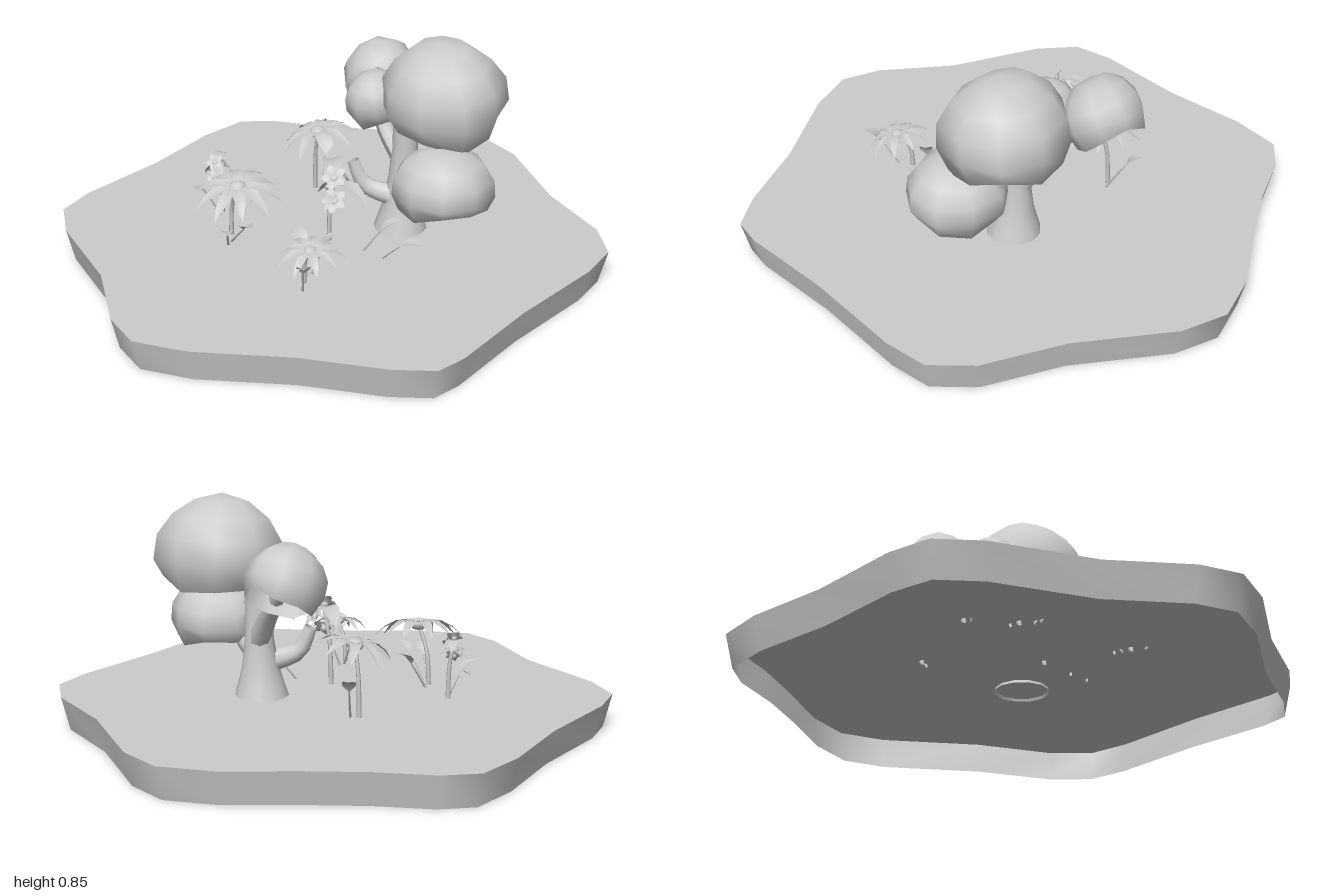
import * as THREE from 'three';

const material = new THREE.MeshStandardMaterial({ color: 0xcccccc, side: THREE.DoubleSide });
const V = (x, y, z) => new THREE.Vector3(x, y, z);
const GROUND = 0.12;

function add(parent, geometry, name) {
  const mesh = new THREE.Mesh(geometry, material);
  mesh.name = name;
  parent.add(mesh);
  return mesh;
}

// Island: flat top with a wavy six-sided outline and a tapering skirt, open below
function createIsland() {
  const outline = [
    [0, -1], [0.17, -0.95], [0.48, -0.735], [0.76, -0.61], [0.88, -0.49], [0.9, -0.33], [0.88, 0.05],
    [0.89, 0.4], [0.87, 0.51], [0.75, 0.6], [0.48, 0.735], [0.19, 0.93], [0.01, 1], [-0.14, 0.95],
    [-0.38, 0.77], [-0.72, 0.625], [-0.85, 0.52], [-0.88, 0.365], [-0.87, 0.015], [-0.9, -0.3],
    [-0.88, -0.49], [-0.78, -0.58], [-0.59, -0.67], [-0.41, -0.78], [-0.18, -0.935],
  ];
  const island = new THREE.Group();
  island.name = 'island';
  const shape = new THREE.Shape(outline.map(([x, z]) => new THREE.Vector2(x, -z)));
  add(island, new THREE.ShapeGeometry(shape).rotateX(-Math.PI / 2).translate(0, GROUND, 0), 'groundTop');
  const positions = [], index = [], n = outline.length;
  outline.forEach(([x, z], i) => {
    positions.push(x, GROUND, z, x * 0.97, 0, z * 0.97);
    const a = i * 2, b = ((i + 1) % n) * 2;
    index.push(a, b, a + 1, b, b + 1, a + 1);
  });
  const skirt = new THREE.BufferGeometry();
  skirt.setAttribute('position', new THREE.Float32BufferAttribute(positions, 3));
  skirt.setIndex(index);
  skirt.computeVertexNormals();
  add(island, skirt, 'groundEdge');
  return island;
}

// Tube that narrows from r0 to r1 along a curve
function taperedTube(points, r0, r1, segments = 6, sides = 8) {
  const curve = new THREE.CatmullRomCurve3(points);
  const geometry = new THREE.TubeGeometry(curve, segments, 1, sides);
  const p = geometry.attributes.position, v = V(0, 0, 0);
  for (let i = 0; i < p.count; i++) {
    const t = Math.floor(i / (sides + 1)) / segments;
    const c = curve.getPointAt(t);
    v.fromBufferAttribute(p, i).sub(c).multiplyScalar(r0 + (r1 - r0) * t).add(c);
    p.setXYZ(i, v.x, v.y, v.z);
  }
  geometry.computeVertexNormals();
  return geometry;
}

// Crown: faceted dome, open underneath, with a slightly uneven surface
function crownGeometry(seed) {
  const geometry = new THREE.SphereGeometry(1, 9, 5, seed, Math.PI * 2, 0, Math.PI * 0.68);
  const p = geometry.attributes.position;
  for (let i = 0; i < p.count; i++) {
    const x = p.getX(i), y = p.getY(i), z = p.getZ(i);
    const k = 1 + 0.05 * Math.sin(3 * x + seed * 5) * Math.cos(4 * z + seed);
    p.setXYZ(i, x * k, y * k + (y < -0.4 ? 0.12 * Math.sin(4 * x + 2 * z + seed) : 0), z * k);
  }
  return geometry;
}

function createTree() {
  const tree = new THREE.Group();
  tree.name = 'tree';
  const profile = [[0.1, 0.11], [0.085, 0.16], [0.068, 0.22], [0.053, 0.32], [0.046, 0.45], [0.05, 0.66]];
  const trunk = new THREE.LatheGeometry(profile.map(([r, y]) => new THREE.Vector2(r, y)), 12);
  const p = trunk.attributes.position;
  for (let i = 0; i < p.count; i++) p.setZ(i, p.getZ(i) - 0.06 * (p.getY(i) - GROUND));
  add(tree, trunk, 'trunk').position.set(0.19, 0, -0.18);

  const branches = [
    [V(0.19, 0.32, -0.2), V(0.11, 0.43, -0.25), V(0.03, 0.52, -0.3), V(-0.02, 0.6, -0.34)],
    [V(0.17, 0.4, -0.2), V(0.1, 0.48, -0.2), V(0.06, 0.58, -0.2)],
    [V(0.2, 0.26, -0.18), V(0.3, 0.32, -0.15), V(0.37, 0.4, -0.13)],
    [V(0.18, 0.24, -0.17), V(0.08, 0.28, -0.11), V(0.04, 0.37, -0.09)],
  ];
  branches.forEach((points) => add(tree, taperedTube(points, 0.042, 0.022), 'branch'));

  // centre, radii, backward tilt
  const crowns = [
    [[0.305, 0.635, -0.265], [0.23, 0.205, 0.22], 0.1],
    [[-0.05, 0.59, -0.37], [0.145, 0.135, 0.145], 0.55],
    [[0.05, 0.58, -0.2], [0.105, 0.11, 0.11], 0.3],
    [[0.41, 0.37, -0.13], [0.18, 0.145, 0.18], 0],
  ];
  crowns.forEach(([c, r, tilt], i) => {
    const crown = add(tree, crownGeometry(i * 1.3 + 0.4), 'crown');
    crown.position.set(...c);
    crown.scale.set(...r);
    crown.rotation.x = tilt;
  });
  return tree;
}

// Blade: thin pointed leaf or petal running along +z, with a crease and a droop
function bladeGeometry(length, width, droop) {
  const geometry = new THREE.PlaneGeometry(1, 1, 2, 4).rotateX(-Math.PI / 2);
  const p = geometry.attributes.position;
  for (let i = 0; i < p.count; i++) {
    const t = p.getZ(i) + 0.5, side = p.getX(i);
    const w = width * Math.pow(Math.sin(Math.PI * Math.pow(t, 0.8)), 0.8) || 0;
    p.setXYZ(i, side * w, Math.abs(side) * w * 0.25 + length * (0.12 * Math.sin(Math.PI * t) - droop * t * t), t * length);
  }
  geometry.computeVertexNormals();
  return geometry;
}

// Blossom: ring of petals around a rounded heart
function createBlossom(radius, petals, width, droop, heart) {
  const blossom = new THREE.Group();
  blossom.name = 'blossom';
  for (let i = 0; i < petals; i++) {
    const length = radius * (1 - 0.1 * (i % 3 === 1));
    add(blossom, bladeGeometry(length, width, droop), 'petal').rotation.y = (i / petals) * Math.PI * 2 + 0.2;
  }
  add(blossom, new THREE.SphereGeometry(heart, 10, 6), 'flowerHeart').scale.y = 0.7;
  return blossom;
}

// Leaf on a thin stalk, from a foot on the ground to its tip
function addLeaf(parent, foot, tip, size, width) {
  const middle = foot.clone().lerp(tip, 0.5).add(V(0, 0.02, 0));
  const base = foot.clone().lerp(tip, 0.55).add(V(0, 0.02, 0));
  add(parent, taperedTube([foot, middle, base], 0.005, 0.003, 4, 5), 'leafStalk');
  const leaf = add(parent, bladeGeometry(size, width, 0.1), 'leaf');
  leaf.position.copy(base);
  leaf.lookAt(tip);
}

function stemTo(parent, foot, head) {
  const bend = foot.clone().lerp(head, 0.5).add(V((foot.x - head.x) * 0.3, 0.02, (foot.z - head.z) * 0.3));
  add(parent, taperedTube([foot, bend, head], 0.009, 0.006, 6, 6), 'stem');
}

function createDaisy(foot, head, radius, petals, tilt) {
  const daisy = new THREE.Group();
  daisy.name = 'daisy';
  stemTo(daisy, foot, head);
  const blossom = createBlossom(radius, petals, radius * 0.27, 0.28, radius * 0.2);
  blossom.position.copy(head);
  blossom.rotation.set(tilt[0], 0, tilt[1]);
  daisy.add(blossom);
  return daisy;
}

// Spike of small blossoms around the top of one stem, with pointed leaves
function createFlowerSpike(foot, head, size, bracts) {
  const spike = new THREE.Group();
  spike.name = 'flowerSpike';
  stemTo(spike, foot, head);
  for (let i = 0; i < 4; i++) {
    const a = i * 2.1 + 0.5;
    const blossom = createBlossom(size, 5, size * 0.7, -0.15, size * 0.3);
    blossom.position.copy(head).add(V(Math.sin(a) * size * 0.7, -i * size * 0.6, Math.cos(a) * size * 0.7));
    blossom.rotation.set(Math.cos(a) * 0.9, 0, -Math.sin(a) * 0.9);
    spike.add(blossom);
  }
  bracts.forEach(([angle, length, drop]) => {
    const leaf = add(spike, bladeGeometry(length, length * 0.4, 0.2), 'pointedLeaf');
    leaf.position.copy(head).add(V(0, -drop, 0));
    leaf.rotation.y = angle;
  });
  return spike;
}

function createFlowers() {
  const flowers = new THREE.Group();
  flowers.name = 'flowers';
  flowers.add(
    createDaisy(V(-0.25, 0.11, -0.22), V(-0.22, 0.37, -0.2), 0.155, 9, [0.15, 0.15]),
    createDaisy(V(-0.24, 0.11, 0.26), V(-0.18, 0.335, 0.285), 0.165, 10, [0.15, -0.1]),
    createDaisy(V(0.19, 0.11, 0.36), V(0.24, 0.27, 0.385), 0.12, 9, [0.15, -0.1]),
    createFlowerSpike(V(0.06, 0.11, 0.07), V(0.1, 0.4, 0.08), 0.05, [[-2.3, 0.18, 0], [1.5, 0.15, 0.04], [0.3, 0.1, 0.08]]),
    createFlowerSpike(V(-0.385, 0.11, 0.15), V(-0.4, 0.33, 0.16), 0.036, [[-2.7, 0.1, 0], [0.9, 0.1, 0.02], [-0.6, 0.07, 0.12]]),
  );
  // foot x, foot z, tip x, tip y, tip z
  const leaves = [
    [-0.22, -0.23, -0.29, 0.29, -0.35], [-0.25, 0.23, -0.21, 0.27, 0.1], [-0.21, 0.3, -0.04, 0.25, 0.35],
    [-0.2, 0.32, -0.11, 0.23, 0.42], [0.18, 0.33, 0.07, 0.25, 0.25], [0.17, 0.3, 0.22, 0.26, 0.25],
    [0.2, 0.06, 0.29, 0.23, -0.03], [0.22, 0.4, 0.3, 0.27, 0.49], [-0.37, 0.17, -0.42, 0.23, 0.24],
    [0.28, 0.06, 0.39, 0.18, -0.01],
  ];
  leaves.forEach(([x, z, tx, ty, tz]) => addLeaf(flowers, V(x, 0.11, z), V(tx, ty, tz), 0.085, 0.05));
  return flowers;
}

export function createModel() {
  const model = new THREE.Group();
  model.name = 'gardenIsland';
  model.add(createIsland(), createTree(), createFlowers());
  return model;
}
